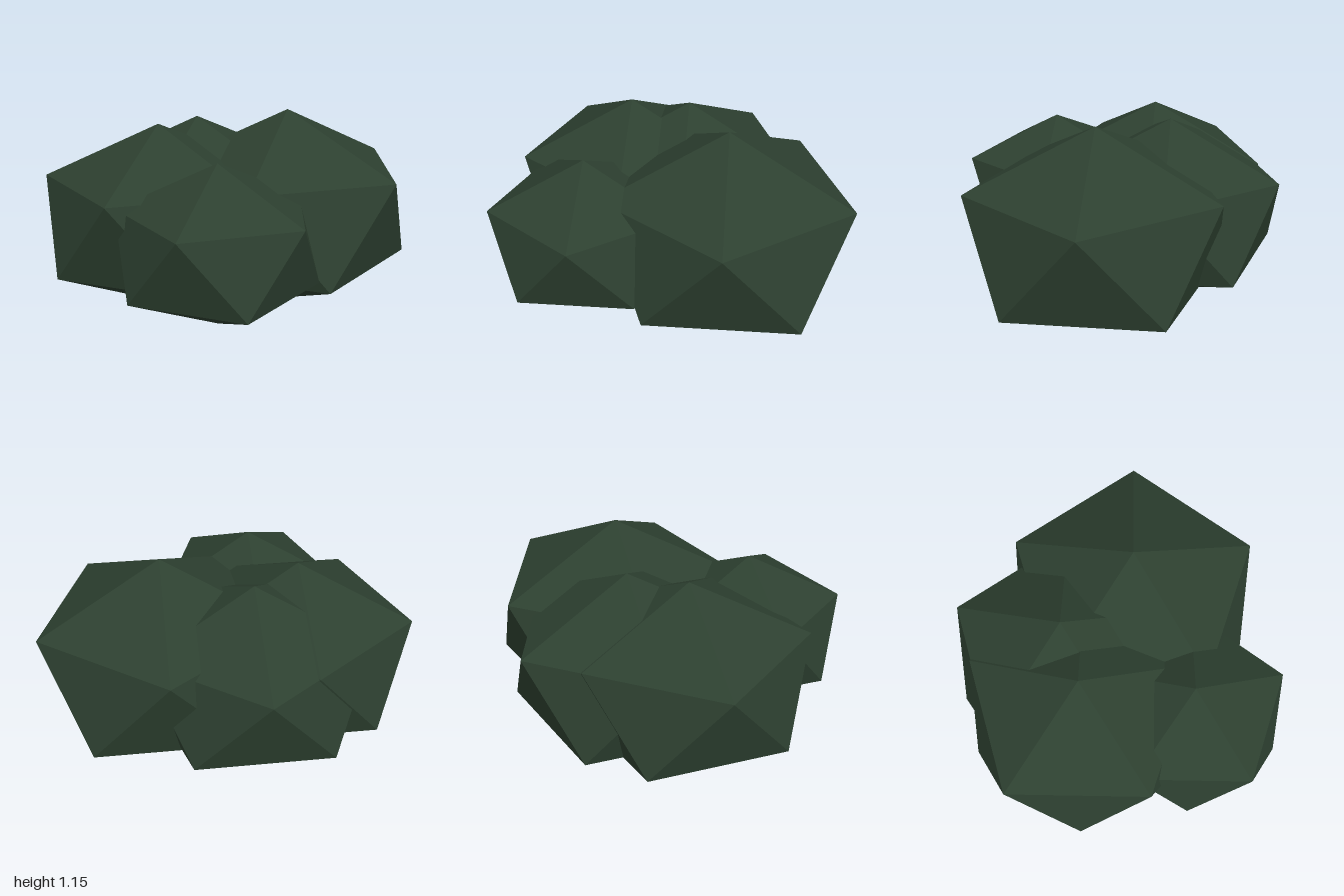
import * as THREE from 'three';

export function createModel() {
  const group = new THREE.Group();
  group.name = 'bush';

  const foliage = new THREE.MeshStandardMaterial({ color: 0x2d4030, flatShading: true });
  foliage.name = 'dark green foliage';

  // Icosahedron turned to stand on a corner, with an upper-ring corner on +x
  const tilt = -Math.atan(2 / (1 + Math.sqrt(5)));
  const centreY = 0.577;
  const squash = 0.745;

  // One squashed, faceted clump of leaves
  function addClump(name, x, z, radius) {
    const geometry = new THREE.IcosahedronGeometry(radius, 0);
    geometry.rotateZ(tilt);
    geometry.scale(1, squash, 1);
    const mesh = new THREE.Mesh(geometry, foliage);
    mesh.name = name;
    mesh.position.set(x, centreY, z);
    group.add(mesh);
  }

  addClump('largeLeftClump', 0.31, 0.073, 0.771);
  addClump('rightBackClump', -0.37, -0.19, 0.705);
  addClump('smallFrontClump', -0.37, 0.395, 0.576);
  addClump('backClump', -0.06, -0.292, 0.695);

  return group;
}
